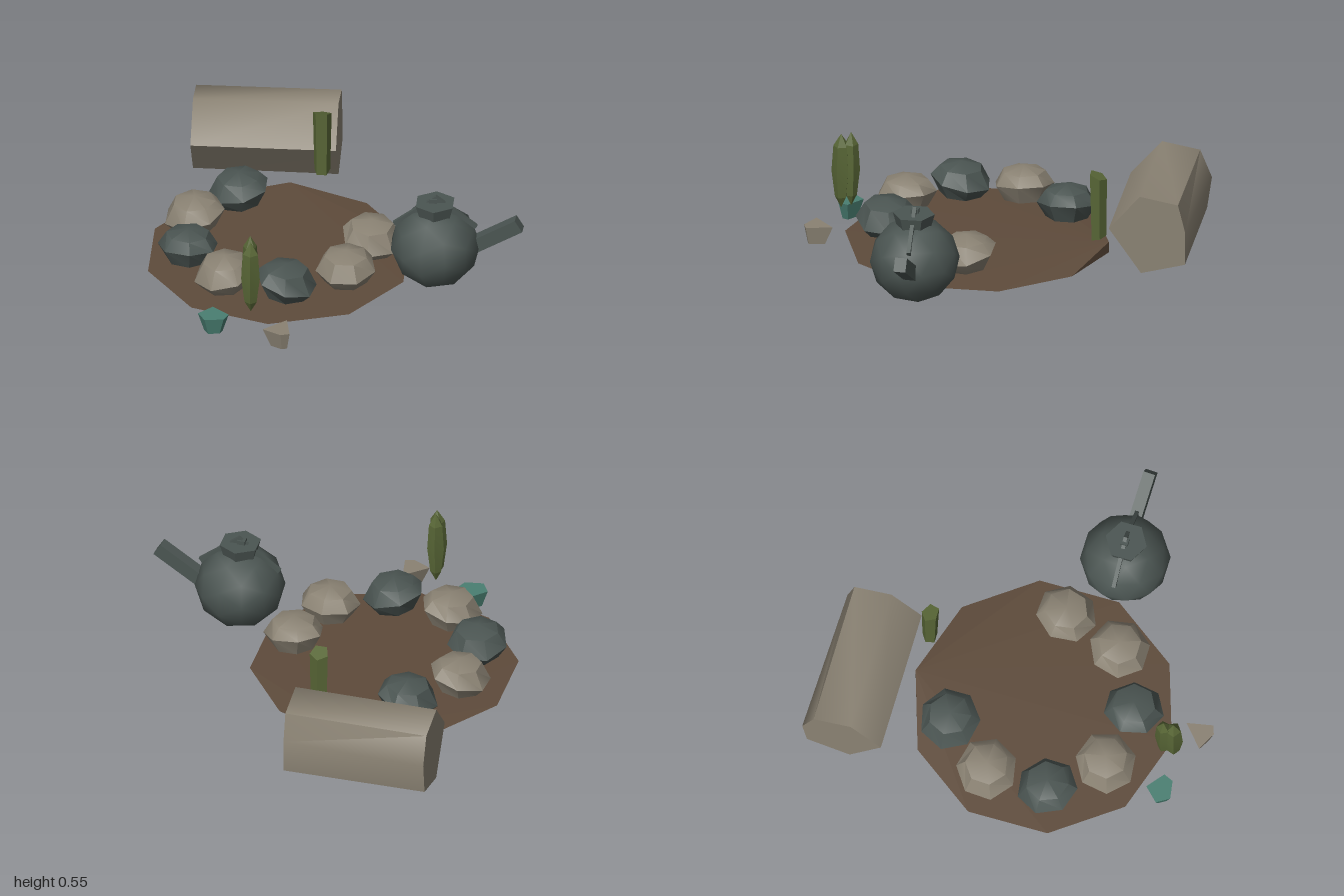
import * as THREE from 'three';
import { toCreasedNormals } from 'three/addons/utils/BufferGeometryUtils.js';

const makeMaterial = (name, color, side = THREE.FrontSide) => {
  const m = new THREE.MeshStandardMaterial({ color, side });
  m.name = name;
  return m;
};

// Joins two outlines of 3D points into a capped solid, with outward faces
function loft(a, b, crease) {
  const n = a.length, tris = [];
  for (let i = 0; i < n; i++) {
    const j = (i + 1) % n;
    tris.push([a[i], a[j], b[j]], [a[i], b[j], b[i]]);
    if (i > 0 && i < n - 1) tris.push([a[0], a[i + 1], a[i]], [b[0], b[i], b[i + 1]]);
  }
  const V = p => new THREE.Vector3(...p);
  const origin = V(a[0]);
  let volume = 0;
  for (const t of tris) {
    const [p, q, r] = t.map(c => V(c).sub(origin));
    volume += p.dot(q.cross(r));
  }
  if (volume < 0) tris.forEach(t => t.reverse());
  const g = new THREE.BufferGeometry();
  g.setAttribute('position', new THREE.Float32BufferAttribute(tris.flat(2), 3));
  return toCreasedNormals(g, crease);
}

export function createModel() {
  const group = new THREE.Group();
  const earth = makeMaterial('earth brown', 0x5e4b3b, THREE.DoubleSide);
  const stone = makeMaterial('warm stone', 0x8a8273);
  const slate = makeMaterial('dark slate', 0x4b5552);
  const moss = makeMaterial('moss green', 0x586636);
  const teal = makeMaterial('teal', 0x4a7f72);

  const add = (name, geometry, material, x = 0, y = 0, z = 0, parent = group) => {
    const mesh = new THREE.Mesh(geometry, material);
    mesh.name = name;
    mesh.position.set(x, y, z);
    parent.add(mesh);
    return mesh;
  };

  // Ground: a ten-sided patch that opens into a wedge at the back corner
  const rim = [];
  for (let i = 1; i < 10; i++) {
    const t = i * Math.PI / 5;
    rim.push([-0.3 + 0.682 * Math.sin(t), 0.038, 0.125 - 0.677 * Math.cos(t)]);
  }
  const top = [-0.3, 0.065, -0.55], low = [-0.3, 0.008, -0.55];
  const faces = [[top, rim[0], low], [top, low, rim[8]]];
  for (let i = 0; i < 8; i++) faces.push([top, rim[i + 1], rim[i]], [low, rim[i], rim[i + 1]]);
  const groundGeo = new THREE.BufferGeometry();
  groundGeo.setAttribute('position', new THREE.Float32BufferAttribute(faces.flat(2), 3));
  groundGeo.computeVertexNormals();
  add('ground', groundGeo, earth);

  // Ring of flattened stones
  const rocks = [
    [-0.54, -0.30, slate], [-0.745, -0.045, stone], [-0.75, 0.275, slate], [-0.545, 0.525, stone],
    [-0.225, 0.58, slate], [0.065, 0.42, stone], [0.17, 0.11, stone],
  ];
  rocks.forEach(([x, z, material], i) => {
    const g = new THREE.SphereGeometry(0.156, 7, 4);
    const p = g.attributes.position;
    for (let k = 0; k < p.count; k++) {
      // tilt the belt so the stone looks uneven
      const px = p.getX(k), py = p.getY(k), pz = p.getZ(k);
      const belt = 1 - Math.abs(py) / 0.156;
      p.setY(k, py * 0.66 + belt * 0.22 * (px * Math.cos(i) + pz * Math.sin(i * 2)));
    }
    g.rotateY(i * 1.3);
    add('ringStone', toCreasedNormals(g, 0.75), material, x, 0.165, z);
  });

  // Log seat: irregular hexagonal prism lying along x
  const logEnd = [[-0.585, 0.24], [-0.745, 0.425], [-0.94, 0.39], [-1, 0.24], [-0.975, 0.065], [-0.75, 0.005]];
  add('logSeat', loft(
    logEnd.map(([z, y]) => [-0.81, y * 0.98, z]),
    logEnd.map(([z, y]) => [-0.07, y, Math.max(z, -0.977)]), 1.15), stone);

  // Kettle
  const kettle = new THREE.Group();
  kettle.name = 'kettle';
  kettle.position.set(0.51, 0, 0.32);
  group.add(kettle);
  const bodyGeo = new THREE.IcosahedronGeometry(0.23, 1);
  bodyGeo.rotateY(0.3);
  bodyGeo.scale(1, 0.95, 1);
  add('kettleBody', toCreasedNormals(bodyGeo, 0.8), slate, 0, 0.26, 0, kettle);
  add('kettleLid', toCreasedNormals(new THREE.CylinderGeometry(0.108, 0.09, 0.065, 6), 0.5), slate, 0, 0.48, 0.005, kettle);
  add('lidKnob', new THREE.BoxGeometry(0.04, 0.03, 0.04), slate, -0.01, 0.52, 0, kettle);
  const arch = new THREE.Shape([
    [-0.215, 0.385], [0.005, 0.55], [0.215, 0.385], [0.185, 0.345], [0.005, 0.48], [-0.185, 0.345],
  ].map(p => new THREE.Vector2(...p)));
  add('kettleHandle', new THREE.ExtrudeGeometry(arch, { depth: 0.02, bevelEnabled: false }), slate, 0, 0, -0.01, kettle);
  const spout = add('kettleSpout', new THREE.BoxGeometry(0.29, 0.073, 0.062), slate, 0.305, 0.333, 0, kettle);
  spout.rotation.set(0, -0.07, 0.55);

  // Pair of pointed stalks at the front
  const blade = (r) => toCreasedNormals(new THREE.LatheGeometry([
    [0, 0.14], [0.65, 0.2], [1, 0.34], [0.8, 0.48], [0, 0.545],
  ].map(([s, y]) => new THREE.Vector2(s * r, y)), 5), 0.2);
  add('frontStalk', blade(0.05), moss, -0.385, -0.01, 0.835);
  add('frontStalk', blade(0.045), moss, -0.392, 0, 0.785).rotation.y = 2;

  // Single five-sided stalk at the back
  const stalk = (y, s, slope, z0) => Array.from({ length: 5 }, (_, i) => {
    const t = i * Math.PI * 0.4;
    const x = -0.135 + 0.05 * s * Math.sin(t), z = z0 - 0.046 * s * Math.cos(t);
    return [x, y + slope * (z - z0), z];
  });
  add('backStalk', loft(stalk(0.16, 0.85, -0.3, -0.523), stalk(0.5, 1, 0.4, -0.52), 0.3), moss);

  // Small chipped pebbles, narrower at the base
  const pebble = (name, outline, cx, cz, material) => add(name, loft(
    outline.map(([x, z]) => [x, 0.095, z]),
    outline.map(([x, z]) => [cx + (x - cx) * 0.6, 0, cz + (z - cz) * 0.6]), 0.2), material);
  pebble('tealPebble', [[-0.585, 0.75], [-0.498, 0.82], [-0.52, 0.87], [-0.615, 0.885], [-0.655, 0.82]], -0.575, 0.825, teal);
  pebble('stonePebble', [[-0.2, 0.85], [-0.175, 0.985], [-0.22, 1.0], [-0.315, 0.95]], -0.21, 0.95, stone);

  return group;
}
